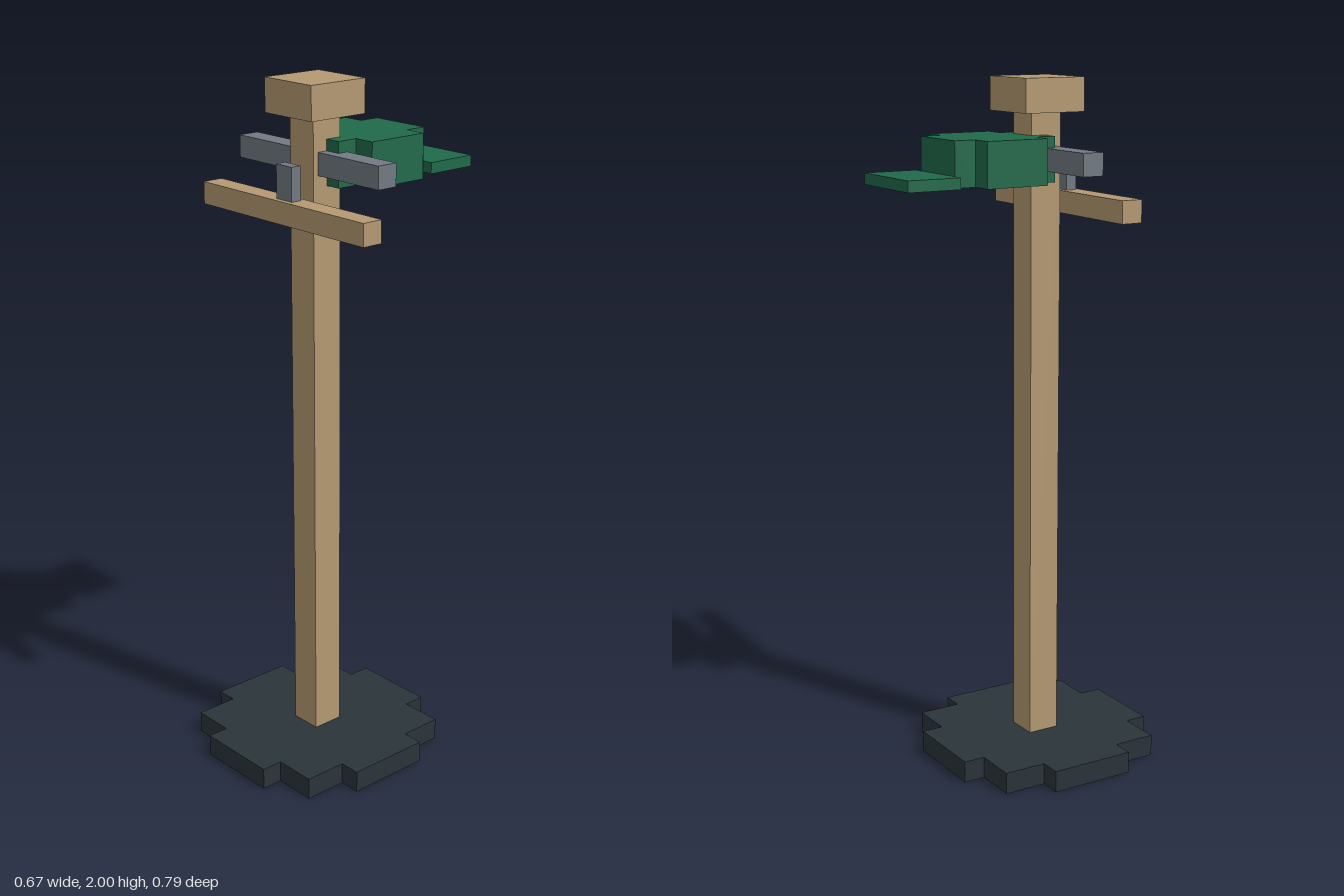
import * as THREE from 'three';

// All sizes sit on a regular block grid
const U = 2 / 63;

const material = (name, color) => {
  const m = new THREE.MeshStandardMaterial({ color });
  m.name = name;
  return m;
};

export function createModel() {
  const wood = material('tan wood', 0xb59a72);
  const iron = material('dark iron', 0x2b343a);
  const steel = material('grey steel', 0x727a82);
  const green = material('green', 0x216a4b);

  const model = new THREE.Group();
  model.name = 'postWithCrossbars';

  const add = (name, geometry, mat) => {
    const mesh = new THREE.Mesh(geometry, mat);
    mesh.name = name;
    model.add(mesh);
  };

  // Box spanning [min, max] on each axis, in grid units
  const box = (name, mat, [x0, x1], [y0, y1], [z0, z1]) => {
    const g = new THREE.BoxGeometry((x1 - x0) * U, (y1 - y0) * U, (z1 - z0) * U);
    g.translate((x0 + x1) / 2 * U, (y0 + y1) / 2 * U, (z0 + z1) / 2 * U);
    add(name, g, mat);
  };

  // Flat slab with stepped corners; quarter lists corners from the +x side to the +z side
  const steppedSlab = (name, mat, quarter, y0, y1, zCentre) => {
    const back = [...quarter].reverse();
    const outline = [
      ...quarter,
      ...back.map(([x, z]) => [-x, z]),
      ...quarter.map(([x, z]) => [-x, -z]),
      ...back.map(([x, z]) => [x, -z]),
    ].map(([x, z]) => new THREE.Vector2(x * U, z * U));
    const g = new THREE.ExtrudeGeometry(new THREE.Shape(outline), { depth: (y1 - y0) * U, bevelEnabled: false });
    g.rotateX(-Math.PI / 2).translate(0, y0 * U, zCentre * U);
    add(name, g, mat);
  };

  // Round stepped foot and the upright
  steppedSlab('base', iron, [[10, 4], [8, 4], [8, 8], [4, 8], [4, 10]], 0, 2, 2.5);
  box('post', wood, [-1.5, 1.5], [2, 60], [1, 4]);
  box('cap', wood, [-3, 3], [60, 63], [-0.5, 5.5]);

  // Front crossbar with its upright peg
  box('frontCrossbar', wood, [-10.5, 10.5], [51, 53], [4.5, 6.5]);
  box('frontPeg', steel, [-1, 1], [53, 56], [5, 6]);

  // Steel arm through the post
  box('steelArm', steel, [-9, 9], [55, 57], [1.5, 3.5]);

  // Green cap hung behind, with its brim
  steppedSlab('hangingCrown', green, [[5, 3], [3, 3], [3, 5]], 54, 58, -2.5);
  box('hangingBrim', green, [-4, 4], [54, 55], [-12.5, -7.5]);

  return model;
}
